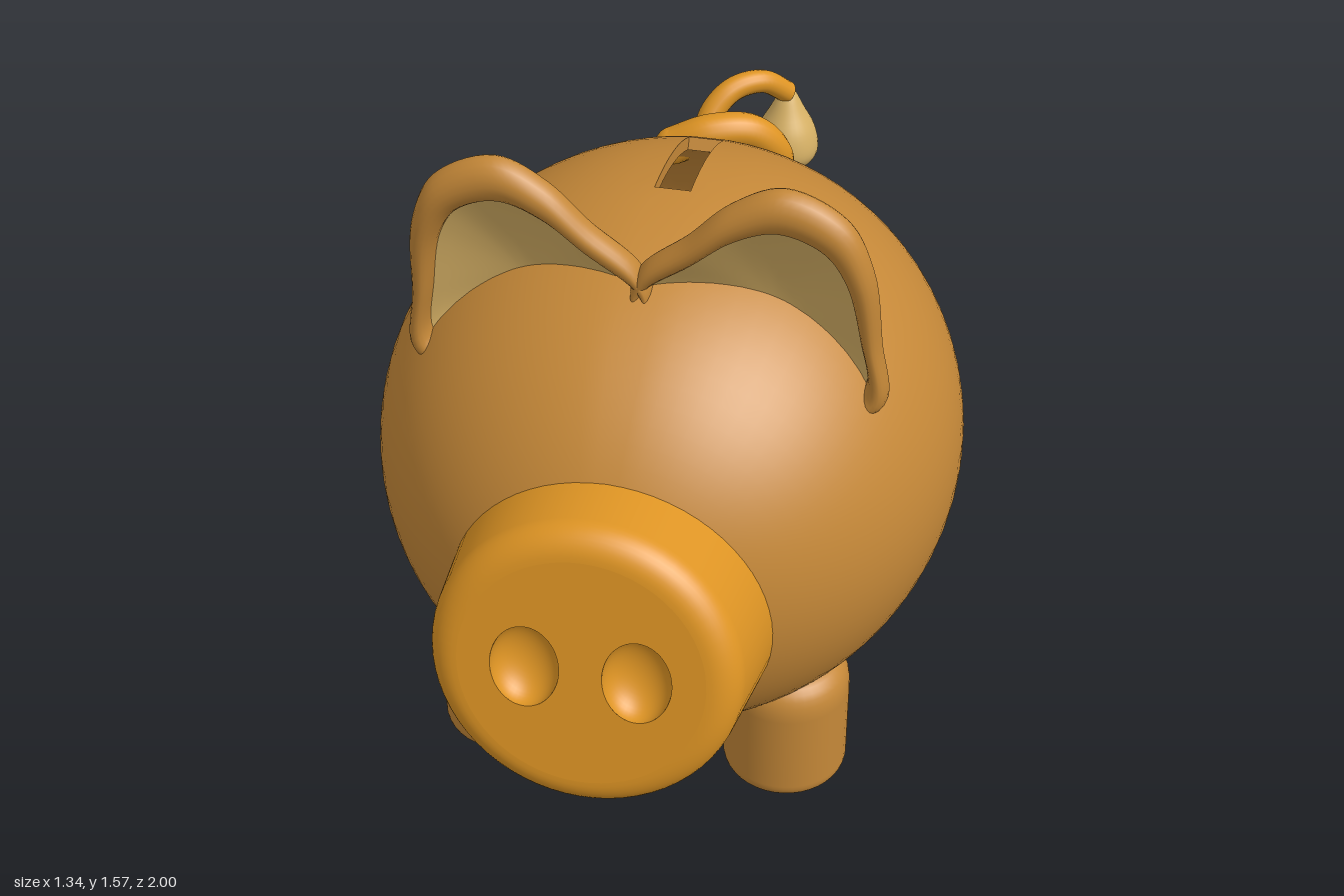
import * as THREE from 'three';

const mat = (name, color) => new THREE.MeshStandardMaterial({ name, color, side: THREE.DoubleSide });
const V = (x, y, z) => new THREE.Vector3(x, y, z);

function add(parent, name, geometry, material) {
  const mesh = new THREE.Mesh(geometry, material);
  mesh.name = name;
  parent.add(mesh);
  return mesh;
}

// Smooth skin over closed rings of points; skip(i, j) leaves cells open
function loft(rings, skip = () => false) {
  const n = rings[0].length, index = [];
  for (let i = 0; i < rings.length - 1; i++) {
    for (let j = 0; j < n; j++) {
      if (skip(i, j)) continue;
      const k = (j + 1) % n;
      const a = i * n + j, b = a + n, c = (i + 1) * n + k, d = i * n + k;
      index.push(a, d, c, a, c, b);
    }
  }
  const g = new THREE.BufferGeometry().setFromPoints(rings.flat());
  g.setIndex(index);
  g.computeVertexNormals();
  return g;
}

// Hollow body with a coin slot on top and a round opening at the back
function makeBody(brown) {
  const body = new THREE.Group();
  body.name = 'body';
  const N = 72, slotStart = 24, slotEnd = 32, last = 46;
  const slotT = Math.acos(-0.493), holeT = Math.PI - 0.267;
  const angle = i => i <= slotStart ? (i / slotStart) * Math.PI / 2
    : i <= slotEnd ? THREE.MathUtils.mapLinear(i, slotStart, slotEnd, Math.PI / 2, slotT)
    : THREE.MathUtils.mapLinear(i, slotEnd, last, slotT, holeT);
  const shell = wall => {
    const rx = 0.672 - wall, ry = 0.645 - wall, rz = 0.73 - wall, rings = [];
    for (let i = 0; i <= last; i++) {
      const t = angle(i), s = Math.sin(t);
      const a0 = Math.asin(0.04 / (rx * Math.max(s, 0.8)));
      rings.push(Array.from({ length: N + 1 }, (_, j) => {
        const a = a0 + (2 * Math.PI - 2 * a0) * j / N;
        return V(rx * s * Math.sin(a), 0.695 + ry * s * Math.cos(a), 0.07 + rz * Math.cos(t));
      }));
    }
    return rings;
  };
  const slot = (i, j) => j === N && i >= slotStart && i < slotEnd;
  const outer = shell(0), inner = shell(0.03);
  add(body, 'outerShell', loft(outer, slot), brown);
  add(body, 'innerShell', loft([...inner].reverse(), (i, j) => slot(last - 1 - i, j)), brown);
  add(body, 'backOpeningRim', loft([outer[last], inner[last]]), brown);
  // straight slot walls, one flat strip per side
  const rows = r => r.slice(slotStart, slotEnd + 1);
  const sides = [
    r => rows(r).map(p => p[0]),
    r => rows(r).map(p => p[N]),
    r => [r[slotStart][0], r[slotStart][N]],
    r => [r[slotEnd][0], r[slotEnd][N]],
  ];
  for (const side of sides) {
    const open = side(outer).length - 1;
    add(body, 'coinSlotWall', loft([side(outer), side(inner)], (i, j) => j === open), brown);
  }
  return body;
}

// Tapered snout with two dished nostrils, built facing +z
function makeSnout(orange) {
  const snout = new THREE.Group();
  snout.name = 'snout';
  const profile = new THREE.Path();
  profile.moveTo(0.372, -0.47);
  profile.lineTo(0.331, -0.06);
  profile.bezierCurveTo(0.328, -0.025, 0.3, 0, 0.262, 0);
  add(snout, 'snoutSide', new THREE.LatheGeometry(profile.getPoints(10), 64).rotateX(Math.PI / 2), orange);

  const disc = new THREE.Shape().absarc(0, 0, 0.262, 0, Math.PI * 2);
  for (const s of [-1, 1]) {
    disc.holes.push(new THREE.Path().absellipse(s * 0.118, 0, 0.073, 0.095, 0, Math.PI * 2, true));
    const bowl = new THREE.SphereGeometry(1, 48, 12, 0, Math.PI * 2, Math.PI / 2, Math.PI / 2);
    bowl.rotateX(Math.PI / 2).scale(0.073, 0.095, 0.06).translate(s * 0.118, 0, 0);
    add(snout, 'nostril', bowl, orange);
  }
  add(snout, 'snoutFace', new THREE.ShapeGeometry(disc, 32), orange);
  snout.position.set(0, 0.715, 0.95);
  snout.rotation.x = -0.19;
  return snout;
}

// Cupped ear: convex back, rolled rim, hollow lining
function makeEar(brown, tan) {
  const ear = new THREE.Group();
  const outline = pts => {
    const c = new THREE.CatmullRomCurve3(pts.map(([x, y]) => V(x, y, 0)), true, 'centripetal');
    return Array.from({ length: 84 }, (_, i) => c.getPoint(i / 84));
  };
  const outer = outline([[0.52, 1.04], [0.507, 1.2], [0.485, 1.4], [0.43, 1.515], [0.3, 1.575], [0.19, 1.525],
    [0.1, 1.435], [0, 1.34], [-0.02, 1.25], [0.15, 1.1], [0.3, 1.05], [0.45, 1.0]]);
  const inner = outline([[0.475, 1.08], [0.46, 1.22], [0.427, 1.37], [0.38, 1.44], [0.29, 1.472], [0.2, 1.44],
    [0.11, 1.365], [0.01, 1.28], [0, 1.24], [0.16, 1.14], [0.3, 1.09], [0.43, 1.04]]);
  const centre = V(0.27, 1.22, 0);
  const ring = (from, to, m, dz) => from.map((p, i) => {
    const q = p.clone().lerp(to[i], m);
    q.z = 0.335 + 0.055 * THREE.MathUtils.smoothstep(q.y, 1.05, 1.5) + dz;
    return q;
  });
  const middle = outer.map(() => centre);
  const skin = [], lining = [];
  for (let k = 0; k <= 10; k++) {
    const s = Math.sin(k / 10 * Math.PI / 2), h = 1 - s * s;
    skin.push(ring(middle, outer, s, -0.1 * h - 0.045 * Math.sqrt(h)));
  }
  for (let k = 1; k <= 10; k++) {
    const a = k / 10 * Math.PI;
    skin.push(ring(outer, inner, (1 - Math.cos(a)) / 2, 0.045 * Math.sin(a)));
  }
  for (let k = 0; k <= 8; k++) {
    const s = 1 - k / 8;
    lining.push(ring(middle, inner, s, -0.06 * (1 - s * s)));
  }
  add(ear, 'earShell', loft(skin), brown);
  add(ear, 'earLining', loft(lining), tan);
  return ear;
}

// Curly tapering tail with a teardrop tuft
function makeTail(orange, tan) {
  const tail = new THREE.Group();
  tail.name = 'tail';
  const path = new THREE.CatmullRomCurve3([
    V(-0.12, 1.11, -0.48), V(-0.03, 1.15, -0.495), V(0.06, 1.14, -0.535), V(0.115, 1.06, -0.58),
    V(0.1, 0.95, -0.63), V(0.01, 0.895, -0.67), V(-0.07, 0.94, -0.715), V(-0.09, 1.02, -0.76),
    V(-0.045, 1.085, -0.81), V(0.025, 1.095, -0.86), V(0.085, 1.04, -0.915)]);
  const steps = 90, sides = 16, tube = new THREE.TubeGeometry(path, steps, 0.046, sides);
  const pos = tube.attributes.position, p = V();
  for (let i = 0; i < pos.count; i++) {
    const u = Math.floor(i / (sides + 1)) / steps, c = path.getPointAt(u);
    p.fromBufferAttribute(pos, i).sub(c).multiplyScalar(1 - 0.4 * u).add(c);
    pos.setXYZ(i, p.x, p.y, p.z);
  }
  add(tail, 'tailCurl', tube, orange);
  add(tail, 'tailRoot', new THREE.SphereGeometry(0.046, 20, 14), orange).position.copy(path.getPoint(0));
  const drop = new THREE.SplineCurve([[0, 0.815], [0.045, 0.827], [0.075, 0.857], [0.083, 0.89], [0.072, 0.94],
    [0.046, 0.99], [0.02, 1.04], [0, 1.06]].map(([x, y]) => new THREE.Vector2(x, y)));
  const profile = drop.getPoints(28);
  profile.forEach(q => { q.x = Math.max(q.x, 0); });
  add(tail, 'tailTuft', new THREE.LatheGeometry(profile, 32), tan).position.set(0.085, 0, -0.917);
  return tail;
}

export function createModel() {
  const brown = mat('brown', 0xc58838), orange = mat('orange', 0xdf9524), tan = mat('tan', 0xd8b266);
  const pig = new THREE.Group();
  pig.name = 'piggyBank';
  pig.add(makeBody(brown), makeSnout(orange), makeTail(orange, tan));

  // Ears, mirrored
  for (const [name, s] of [['leftEar', 1], ['rightEar', -1]]) {
    const ear = makeEar(brown, tan);
    ear.name = name;
    ear.scale.x = s;
    pig.add(ear);
  }

  // Four stubby legs with rounded ends
  const p = new THREE.Path();
  p.moveTo(0, 0.005);
  p.lineTo(0.105, 0.005);
  p.quadraticCurveTo(0.145, 0.005, 0.145, 0.045);
  p.lineTo(0.145, 0.25);
  p.quadraticCurveTo(0.145, 0.338, 0.07, 0.338);
  p.lineTo(0, 0.338);
  const leg = new THREE.LatheGeometry(p.getPoints(8), 40);
  for (const [name, z] of [['frontLeg', 0.395], ['backLeg', -0.295]])
    for (const s of [-1, 1]) add(pig, name, leg, brown).position.set(s * 0.34, 0, z);

  return pig;
}
